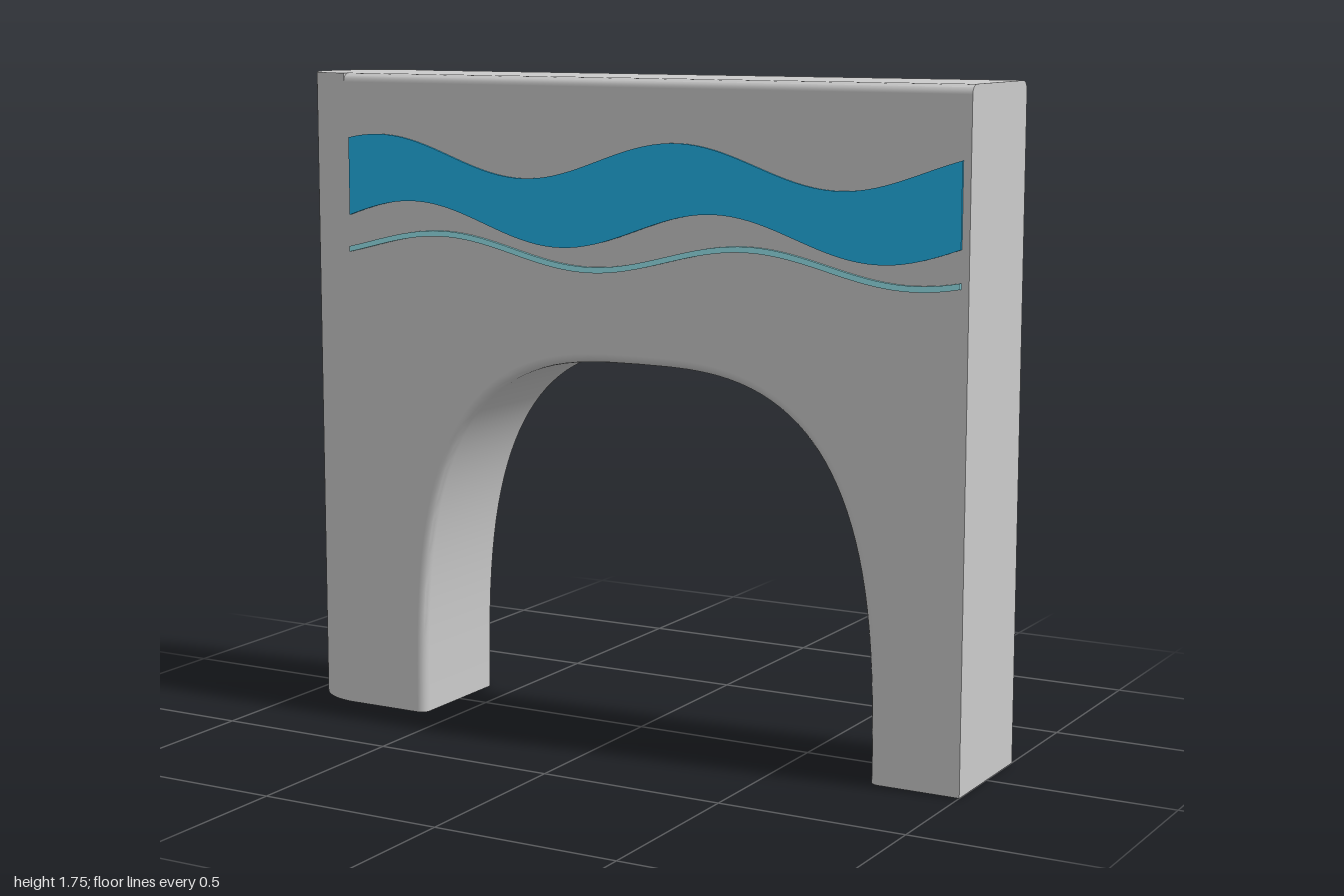
import * as THREE from 'three';
import { toCreasedNormals } from 'three/addons/utils/BufferGeometryUtils.js';

const HEIGHT = 1.75, HALF = 0.175, LEFT = -0.825, RIGHT = 1, BEVEL = 0.024;
const ARCH = { x: 0.084, halfWidth: 0.671, height: 1.015, power: 3 };

const material = (color) => new THREE.MeshStandardMaterial({ color });

function part(name, geometry, mat) {
  const mesh = new THREE.Mesh(geometry, mat);
  mesh.name = name;
  return mesh;
}

// Keep the flat faces flat where they meet the rounded edges
function flattenFaceNormals(g) {
  const p = g.attributes.position, normals = g.attributes.normal;
  const v = new THREE.Vector3();
  for (let i = 0; i < p.count; i++) {
    v.fromBufferAttribute(normals, i);
    const depth = Math.abs(p.getZ(i));
    if (depth > HALF - 1e-4) {
      if (Math.abs(v.z) > 0.5) v.set(0, 0, Math.sign(v.z));
    } else if (depth < HALF - BEVEL + 1e-4) {
      v.setZ(0).normalize();
    }
    normals.setXYZ(i, v.x, v.y, v.z);
  }
  return g;
}

// Wall with an arched opening; only the top and arch edges are rounded
function wallGeometry() {
  const s = new THREE.Shape();
  s.moveTo(LEFT - BEVEL, -BEVEL);
  s.lineTo(ARCH.x - ARCH.halfWidth, -BEVEL);
  const steps = 64;
  for (let i = 0; i <= steps; i++) {
    const a = Math.PI * (1 - i / steps), c = Math.cos(a), sn = Math.max(0, Math.sin(a));
    const e = 2 / ARCH.power;
    s.lineTo(ARCH.x + ARCH.halfWidth * Math.sign(c) * Math.abs(c) ** e,
      i % steps === 0 ? 0 : ARCH.height * sn ** e);
  }
  s.lineTo(ARCH.x + ARCH.halfWidth, -BEVEL);
  s.lineTo(RIGHT + BEVEL, -BEVEL);
  s.lineTo(RIGHT + BEVEL, HEIGHT);
  s.lineTo(LEFT - BEVEL, HEIGHT);
  s.closePath();
  const g = new THREE.ExtrudeGeometry(s, {
    depth: 2 * (HALF - BEVEL), bevelEnabled: true, bevelThickness: BEVEL,
    bevelSize: BEVEL, bevelOffset: -BEVEL, bevelSegments: 4,
  });
  g.translate(0, 0, BEVEL - HALF);
  // Flatten the feet and both ends back to square edges
  const p = g.attributes.position;
  for (let i = 0; i < p.count; i++) {
    p.setX(i, THREE.MathUtils.clamp(p.getX(i), LEFT, RIGHT));
    p.setY(i, Math.max(0, p.getY(i)));
  }
  return flattenFaceNormals(toCreasedNormals(g, 0.6));
}

// Half-round column closing one end
function columnGeometry() {
  const s = new THREE.Shape();
  s.moveTo(LEFT, HALF);
  s.absarc(LEFT, 0, HALF, Math.PI / 2, Math.PI * 1.5, false);
  s.closePath();
  const g = new THREE.ExtrudeGeometry(s, { depth: HEIGHT, bevelEnabled: false, curveSegments: 40 });
  g.rotateX(-Math.PI / 2);
  return toCreasedNormals(g, 0.6);
}

// Flat ribbon between two wavy edges, each { y, amp, peak }
function ribbonGeometry(lower, upper, depth) {
  const x0 = -0.808, x1 = 0.98, period = 0.91, n = 72;
  const edge = ({ y, amp, peak }) => Array.from({ length: n + 1 }, (_, i) => {
    const x = x0 + (x1 - x0) * i / n;
    return new THREE.Vector2(x, y + amp * Math.cos((x - peak) / period * 2 * Math.PI));
  });
  const s = new THREE.Shape([...edge(lower), ...edge(upper).reverse()]);
  return toCreasedNormals(new THREE.ExtrudeGeometry(s, { depth, bevelEnabled: false }), 0.6);
}

export function createModel() {
  const model = new THREE.Group();
  model.name = 'archway';
  const white = material(0xf6f7f8), blue = material(0x22b4ea), pale = material(0x9aeaf2);

  model.add(part('archWall', wallGeometry(), white), part('roundEndColumn', columnGeometry(), white));

  // Wave decoration on both faces
  const sink = 0.005, bandRise = 0.006, lineRise = 0.009;
  const band = ribbonGeometry({ y: 1.361, amp: 0.052, peak: 0.31 }, { y: 1.537, amp: 0.052, peak: 0.2 }, bandRise + sink);
  const line = ribbonGeometry({ y: 1.285, amp: 0.037, peak: 0.4 }, { y: 1.3, amp: 0.037, peak: 0.4 }, lineRise + sink);
  for (const [side, front] of [['front', true], ['back', false]]) {
    const wave = part(side + 'WaveBand', band, blue);
    const stripe = part(side + 'WaveLine', line, pale);
    wave.position.z = front ? HALF - sink : -HALF - bandRise;
    stripe.position.z = front ? HALF - sink : -HALF - lineRise;
    model.add(wave, stripe);
  }
  return model;
}
